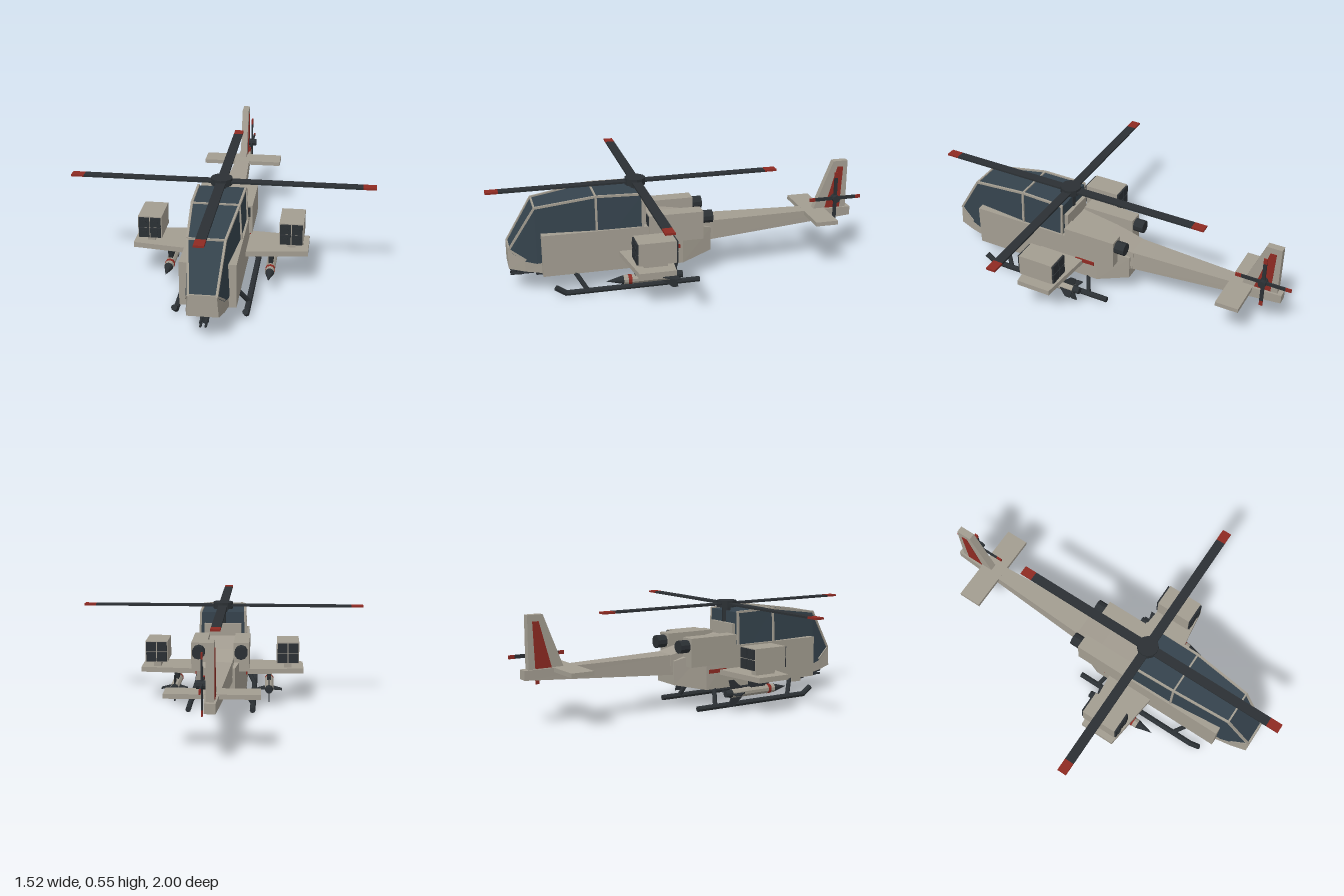
import * as THREE from 'three';

const paint = (color) => new THREE.MeshStandardMaterial({ color, flatShading: true });
const GREY = paint(0xa39d91), DARK = paint(0x2b3034), GLASS = paint(0x35434d), RED = paint(0x8e2a22);
const Y = new THREE.Vector3(0, 1, 0);

function add(parent, name, geo, mat, x = 0, y = 0, z = 0) {
  const m = new THREE.Mesh(geo, mat);
  m.name = name;
  m.position.set(x, y, z);
  parent.add(m);
  return m;
}
const box = (p, name, mat, w, h, d, x, y, z) => add(p, name, new THREE.BoxGeometry(w, h, d), mat, x, y, z);

// cylinder (or cone) between two points
function rod(p, name, mat, a, b, r0, r1 = r0, sides = 8) {
  const A = new THREE.Vector3(...a), B = new THREE.Vector3(...b), d = B.clone().sub(A);
  const m = add(p, name, new THREE.CylinderGeometry(r1, r0, d.length(), sides), mat);
  m.position.copy(A).add(B).multiplyScalar(0.5);
  m.quaternion.setFromUnitVectors(Y, d.normalize());
  return m;
}

// square-edged bar between two points
function bar(p, name, mat, a, b, t) {
  const A = new THREE.Vector3(...a), B = new THREE.Vector3(...b);
  const m = box(p, name, mat, t, t, A.distanceTo(B) + t * 0.6, 0, 0, 0);
  m.position.copy(A).add(B).multiplyScalar(0.5);
  m.lookAt(B);
  return m;
}

// four-sided body from sections [z, yBottom, yTop, halfWidthBottom, halfWidthTop], front to back
function loft(p, name, mat, sections) {
  const rings = sections.map(([z, yb, yt, hb, ht]) => [[hb, yb, z], [ht, yt, z], [-ht, yt, z], [-hb, yb, z]]);
  const pos = [];
  const quad = (a, b, c, d) => pos.push(...a, ...b, ...c, ...a, ...c, ...d);
  quad(...rings[0]);
  for (let i = 0; i < rings.length - 1; i++) {
    for (let k = 0; k < 4; k++) {
      const n = (k + 1) % 4;
      quad(rings[i][k], rings[i + 1][k], rings[i + 1][n], rings[i][n]);
    }
  }
  quad(...rings[rings.length - 1].slice().reverse());
  const g = new THREE.BufferGeometry();
  g.setAttribute('position', new THREE.Float32BufferAttribute(pos, 3));
  g.computeVertexNormals();
  return add(p, name, g, mat);
}

// flat plate from outline points, centred on its thickness
function plate(points, thickness) {
  const s = new THREE.Shape(points.map(([x, y]) => new THREE.Vector2(x, y)));
  return new THREE.ExtrudeGeometry(s, { depth: thickness, bevelEnabled: false }).translate(0, 0, -thickness / 2);
}
// outline given as [z, y], standing upright along the body
const sidePlate = (points, t) => plate(points.map(([z, y]) => [-z, y]), t).rotateY(Math.PI / 2);
// outline given as [x, z], lying flat
const flatPlate = (points, t) => plate(points.map(([x, z]) => [x, -z]), t).rotateX(-Math.PI / 2);

function buildBody(g) {
  loft(g, 'hull', GREY, [
    [0.745, 0.1, 0.32, 0.134, 0.134], [0.2, 0.1, 0.32, 0.134, 0.134],
    [0.02, 0.1, 0.31, 0.134, 0.13], [-0.145, 0.135, 0.26, 0.08, 0.08]]);
  loft(g, 'nose', GREY, [[0.91, 0.137, 0.235, 0.074, 0.066], [0.83, 0.12, 0.18, 0.09, 0.086], [0.7, 0.1, 0.165, 0.105, 0.1]]);
  loft(g, 'canopyGlass', GLASS, [
    [0.902, 0.19, 0.238, 0.07, 0.065], [0.77, 0.16, 0.452, 0.1, 0.086],
    [0.465, 0.2, 0.495, 0.126, 0.113], [0.225, 0.2, 0.49, 0.128, 0.118]]);
  loft(g, 'spine', GREY, [[0.25, 0.25, 0.43, 0.1, 0.1], [0.205, 0.25, 0.43, 0.1, 0.1]]);
  loft(g, 'rearFairing', GREY, [[0.21, 0.25, 0.365, 0.08, 0.08], [0, 0.24, 0.33, 0.08, 0.075], [-0.16, 0.2, 0.29, 0.07, 0.066]]);
  loft(g, 'tailBoom', GREY, [[-0.1, 0.185, 0.293, 0.07, 0.068], [-0.95, 0.237, 0.284, 0.026, 0.026]]);
  // canopy frame
  const edge = [[0.065, 0.238, 0.904], [0.087, 0.454, 0.77], [0.114, 0.497, 0.465], [0.119, 0.492, 0.228]];
  for (const s of [1, -1]) {
    const P = ([x, y, z]) => [s * x, y, z];
    for (let i = 0; i < 3; i++) bar(g, 'canopyRail', GREY, P(edge[i]), P(edge[i + 1]), 0.011);
    bar(g, 'canopyPillar', GREY, P(edge[2]), P([0.124, 0.31, 0.465]), 0.011);
    bar(g, 'canopyPillar', GREY, P(edge[3]), P([0.127, 0.31, 0.228]), 0.011);
    bar(g, 'canopySill', GREY, P(edge[0]), P([0.087, 0.182, 0.825]), 0.01);
  }
  for (const i of [0, 1, 2]) {
    const [x, y, z] = edge[i];
    bar(g, 'canopyCrossbar', GREY, [-x, y, z], [x, y, z], 0.009);
  }
}

function buildSide(g, s) {
  // engine with intake and exhaust
  box(g, 'engine', GREY, 0.08, 0.15, 0.285, s * 0.11, 0.305, 0.057);
  box(g, 'intake', DARK, 0.055, 0.05, 0.01, s * 0.112, 0.347, 0.2);
  rod(g, 'exhaust', DARK, [s * 0.11, 0.337, -0.07], [s * 0.11, 0.337, -0.14], 0.034, 0.034, 10);
  box(g, 'sideStripe', RED, 0.01, 0.02, 0.11, s * 0.133, 0.195, 0.09);

  // stub wing; x order swapped on one side keeps the outline direction
  add(g, 'stubWing', flatPlate([[s * 0.1, 0.36], [s * 0.44, 0.315], [s * 0.44, 0.13], [s * 0.1, 0.1]], 0.027), GREY, 0, 0.187, 0);

  // rocket pod with four tubes
  const pod = new THREE.Group();
  pod.name = 'rocketPod';
  pod.position.set(s * 0.355, 0.287, 0.218);
  g.add(pod);
  box(pod, 'podBody', GREY, 0.12, 0.114, 0.19, 0, 0, 0);
  box(pod, 'podPylon', GREY, 0.04, 0.05, 0.12, 0, -0.07, 0);
  for (const u of [-1, 1]) for (const v of [-1, 1]) {
    box(pod, 'launchCell', DARK, 0.053, 0.05, 0.208, u * 0.029, v * 0.0275, 0);
    rod(pod, 'launchTube', DARK, [u * 0.029, v * 0.0275, 0.1], [u * 0.029, v * 0.0275, 0.108], 0.014);
  }

  // missile under the wing
  const mis = new THREE.Group();
  mis.name = 'missile';
  mis.position.set(s * 0.255, 0.095, 0);
  g.add(mis);
  rod(mis, 'missileBody', GREY, [0, 0, 0.09], [0, 0, 0.36], 0.024, 0.024, 10);
  rod(mis, 'missileNose', DARK, [0, 0, 0.355], [0, 0, 0.445], 0.024, 0.001, 10);
  rod(mis, 'missileBand', RED, [0, 0, 0.318], [0, 0, 0.336], 0.0255, 0.0255, 10);
  rod(mis, 'missileTail', DARK, [0, 0, 0.055], [0, 0, 0.095], 0.018, 0.023, 10);
  for (let i = 0; i < 4; i++) {
    const fin = add(mis, 'missileFin', sidePlate([[0.17, 0.015], [0.105, 0.07], [0.075, 0.07], [0.09, 0.015]], 0.006), DARK);
    fin.rotation.z = i * Math.PI / 2;
  }
  add(mis, 'missilePylon', sidePlate([[0.3, 0.015], [0.32, 0.085], [0.2, 0.085], [0.21, 0.015]], 0.022), DARK);

  // landing skid
  const sx = s * 0.17;
  rod(g, 'skid', DARK, [sx, 0.015, 0.645], [sx, 0.015, -0.06], 0.015);
  rod(g, 'skidTip', DARK, [sx, 0.016, 0.64], [sx, 0.05, 0.69], 0.015);
  rod(g, 'frontStrut', DARK, [sx, 0.02, 0.53], [s * 0.115, 0.115, 0.59], 0.012);
  rod(g, 'rearStrut', DARK, [sx, 0.02, 0.05], [s * 0.115, 0.115, 0.08], 0.012);
}

function buildTail(g) {
  add(g, 'tailplane', flatPlate([[-0.22, -0.68], [0.22, -0.68], [0.22, -0.8], [-0.22, -0.8]], 0.022), GREY, 0, 0.276, 0);
  add(g, 'tailFin', sidePlate([[-0.735, 0.27], [-0.845, 0.547], [-0.925, 0.547], [-0.925, 0.25]], 0.036), GREY);
  add(g, 'finStripe', sidePlate([[-0.805, 0.287], [-0.868, 0.515], [-0.9, 0.515], [-0.89, 0.287]], 0.042), RED);
  const rotor = new THREE.Group();
  rotor.name = 'tailRotor';
  rotor.position.set(0.04, 0.345, -0.855);
  g.add(rotor);
  rod(rotor, 'tailRotorHub', DARK, [-0.03, 0, 0], [0.024, 0, 0], 0.02, 0.02, 10);
  for (let i = 0; i < 4; i++) {
    const blade = new THREE.Group();
    blade.name = 'tailBlade';
    blade.rotation.x = i * Math.PI / 2;
    rotor.add(blade);
    box(blade, 'bladeArm', DARK, 0.008, 0.115, 0.018, 0, 0.0575, 0);
    box(blade, 'bladeTip', RED, 0.008, 0.03, 0.018, 0, 0.13, 0);
  }
}

function buildMainRotor(g) {
  const rotor = new THREE.Group();
  rotor.name = 'mainRotor';
  rotor.position.set(0, 0.527, 0.24);
  g.add(rotor);
  rod(rotor, 'mast', DARK, [0, -0.12, 0], [0, 0, 0], 0.023, 0.023, 10);
  rod(rotor, 'rotorHub', DARK, [0, -0.017, 0], [0, 0.018, 0], 0.054, 0.054, 12);
  for (let i = 0; i < 4; i++) {
    const blade = new THREE.Group();
    blade.name = 'rotorBlade';
    blade.rotation.y = i * Math.PI / 2;
    rotor.add(blade);
    box(blade, 'bladeArm', DARK, 0.048, 0.01, 0.695, 0, 0, 0.3475);
    box(blade, 'bladeTip', RED, 0.048, 0.01, 0.065, 0, 0, 0.7275);
  }
}

function buildGun(g) {
  box(g, 'gunTurret', DARK, 0.046, 0.05, 0.055, 0, 0.09, 0.742);
  box(g, 'gunFeed', GREY, 0.03, 0.055, 0.06, -0.04, 0.088, 0.69);
  for (const x of [-0.012, 0.012]) for (const y of [0.08, 0.098]) {
    rod(g, 'gunBarrel', DARK, [x, y, 0.76], [x, y, 0.9], 0.006, 0.006, 6);
  }
  box(g, 'barrelClamp', DARK, 0.038, 0.03, 0.012, 0, 0.089, 0.85);
}

export function createModel() {
  const g = new THREE.Group();
  g.name = 'helicopter';
  buildBody(g);
  for (const s of [1, -1]) buildSide(g, s);
  buildTail(g);
  buildMainRotor(g);
  buildGun(g);
  return g;
}
